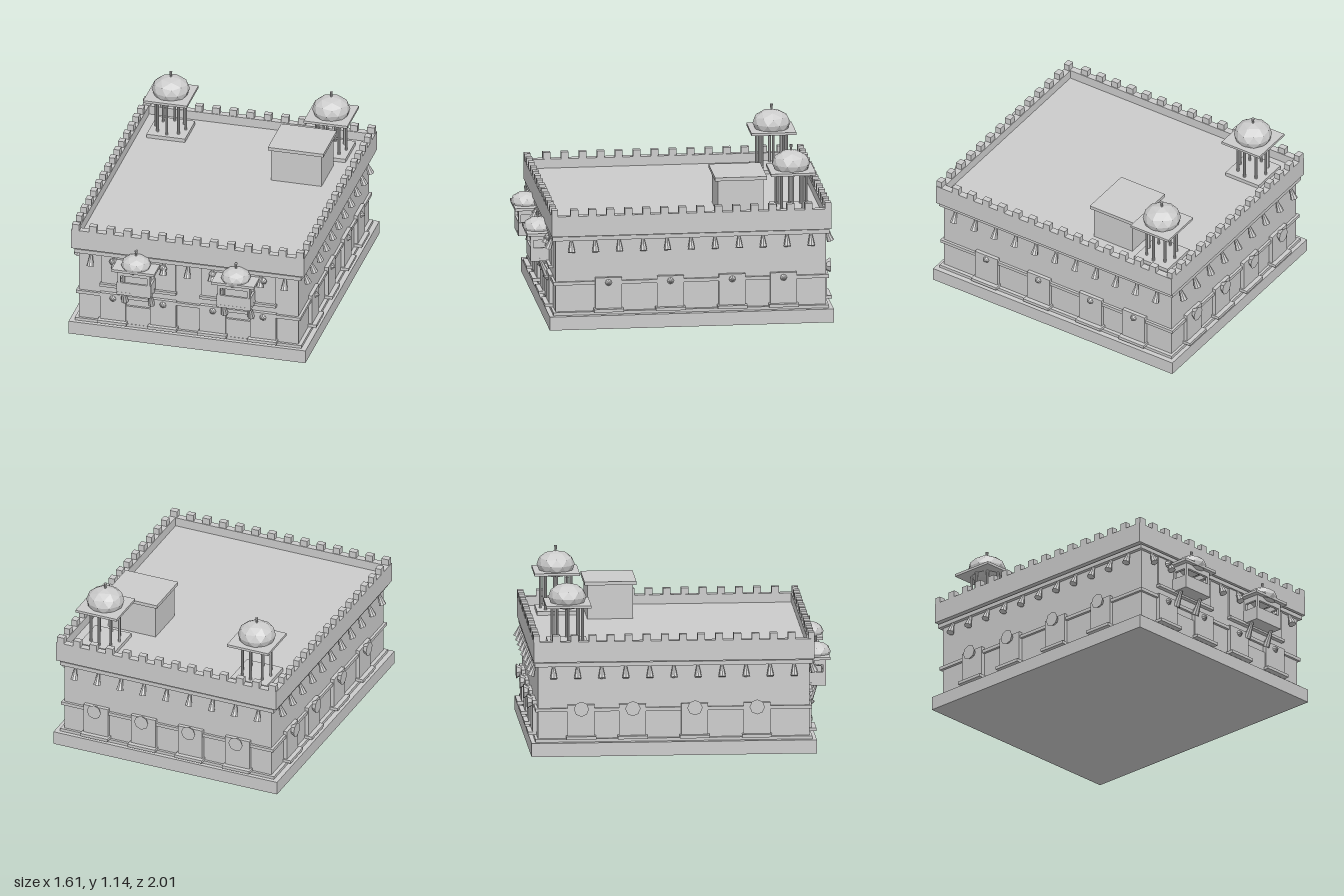
import * as THREE from 'three';

const mat = new THREE.MeshStandardMaterial({ color: 0xcccccc, flatShading: true, side: THREE.DoubleSide });
const CZ = -0.056;            // centre of the building in z
const WX = 0.74, WZ = 0.888;  // half sizes of the wall block

function add(parent, name, geometry, x, y, z) {
  const m = new THREE.Mesh(geometry, mat);
  m.name = name;
  m.position.set(x, y, z);
  parent.add(m);
  return m;
}

// Box given by its centre in x and z and its bottom and top in y
function box(parent, name, w, y0, y1, d, x = 0, z = 0) {
  return add(parent, name, new THREE.BoxGeometry(w, y1 - y0, d), x, (y0 + y1) / 2, z);
}

// Faceted dome with a vertex at the pole, and its finial
function dome(parent, x, y, z, r, ry) {
  const g = new THREE.IcosahedronGeometry(1, 1);
  g.rotateZ(-Math.atan(2 / (1 + Math.sqrt(5))));
  g.scale(r, ry, r);
  add(parent, 'dome', g, x, y, z);
  add(parent, 'finial', new THREE.CylinderGeometry(0.01, 0.006, 0.04, 8), x, y + ry + 0.015, z);
}

// Tapered bracket between two points
function cone(parent, name, top, bottom, rTop, rBottom) {
  const a = new THREE.Vector3(...top), b = new THREE.Vector3(...bottom);
  const dir = a.clone().sub(b);
  const mid = a.clone().add(b).multiplyScalar(0.5);
  const m = add(parent, name, new THREE.CylinderGeometry(rTop, rBottom, dir.length(), 8), mid.x, mid.y, mid.z);
  m.quaternion.setFromUnitVectors(new THREE.Vector3(0, 1, 0), dir.normalize());
}

// Spread n positions evenly over -half..half
const spread = (n, half) => Array.from({ length: n }, (_, i) => -half + (2 * half * i) / (n - 1));

// One facade: local z = 0 is the wall plane, +z points outwards
function facade(parent, name, angle, dist) {
  const g = new THREE.Group();
  g.name = name;
  g.rotation.y = angle;
  g.position.set(Math.sin(angle) * dist, 0, Math.cos(angle) * dist);
  parent.add(g);
  return g;
}

function niche(parent, x, y, flared) {
  box(parent, 'nichePanel', 0.175, 0.11, y + 0.033, 0.05, x, 0);
  box(parent, 'nicheSill', 0.195, 0.11, 0.13, 0.08, x, 0.015);
  if (flared) cone(parent, 'nicheRosette', [x, y + 0.01, 0.055], [x, y + 0.01, 0.015], 0.05, 0.025);
  else cone(parent, 'nicheBoss', [x, y, 0.05], [x, y, 0.02], 0.004, 0.026);
}

function eaveBrackets(parent, positions) {
  for (const x of positions) cone(parent, 'eaveBracket', [x, 0.592, 0.012], [x, 0.515, 0.04], 0.008, 0.025);
}

function balcony(parent, x) {
  const g = new THREE.Group();
  g.name = 'balcony';
  g.position.x = x;
  parent.add(g);
  box(g, 'balconyFloor', 0.23, 0.38, 0.4, 0.13, 0, 0.065);
  box(g, 'balconyFrontRail', 0.23, 0.4, 0.47, 0.015, 0, 0.122);
  for (const s of [-1, 1]) {
    box(g, 'balconySideRail', 0.015, 0.4, 0.47, 0.115, s * 0.107, 0.06);
    for (const z of [0.015, 0.12]) box(g, 'balconyPost', 0.018, 0.4, 0.555, 0.018, s * 0.1, z);
    box(g, 'sideLintel', 0.018, 0.52, 0.555, 0.11, s * 0.1, 0.065);
    cone(g, 'balconyBracket', [s * 0.09, 0.385, 0.065], [s * 0.09, 0.28, 0.018], 0.01, 0.025);
    cone(g, 'wallBoss', [s * 0.17, 0.555, 0.05], [s * 0.17, 0.555, 0.02], 0.004, 0.026);
  }
  box(g, 'frontLintel', 0.2, 0.52, 0.555, 0.018, 0, 0.12);
  box(g, 'balconyCanopy', 0.29, 0.555, 0.573, 0.16, 0, 0.075);
  dome(g, 0, 0.587, 0.07, 0.098, 0.066);
}

function pavilion(parent, x, z) {
  const g = new THREE.Group();
  g.name = 'roofPavilion';
  g.position.set(x, 0, z);
  parent.add(g);
  box(g, 'pavilionPlatform', 0.26, 0.69, 0.725, 0.26);
  for (let i = 0; i < 8; i++) {
    const a = (i * Math.PI) / 4;
    add(g, 'pavilionColumn', new THREE.CylinderGeometry(0.009, 0.009, 0.24, 8), 0.1 * Math.cos(a), 0.845, 0.1 * Math.sin(a));
  }
  box(g, 'pavilionCanopy', 0.295, 0.963, 0.98, 0.295);
  dome(g, 0, 1.015, 0, 0.125, 0.09);
}

export function createModel() {
  const root = new THREE.Group();
  root.name = 'palace';
  const body = new THREE.Group();
  body.name = 'building';
  body.position.z = CZ;
  root.add(body);

  // Main block with its horizontal mouldings
  box(body, 'base', 1.6, 0, 0.09, 1.866);
  box(body, 'plinthStep', 1.53, 0.09, 0.11, 1.81);
  box(body, 'walls', 2 * WX, 0.11, 0.7, 2 * WZ);
  box(body, 'stringCourse', 1.515, 0.29, 0.312, 1.81);
  box(body, 'cornice', 1.53, 0.59, 0.617, 1.82);

  // Parapet ring and battlements
  const PX = 0.787, PZ = 0.918, T = 0.045;
  for (const s of [-1, 1]) {
    box(body, 'parapetEnd', 2 * PX, 0.625, 0.76, T, 0, s * (PZ - T / 2));
    box(body, 'parapetSide', T, 0.625, 0.76, 2 * (PZ - T), s * (PX - T / 2), 0);
    for (const x of spread(14, 0.757)) box(body, 'merlon', 0.05, 0.76, 0.803, 0.04, x, s * (PZ - 0.02));
    for (const z of spread(16, 0.888).slice(1, -1)) box(body, 'merlon', 0.04, 0.76, 0.803, 0.05, s * (PX - 0.02), z);
  }

  // Long sides: the right has pointed bosses, the left flared rosettes
  for (const s of [-1, 1]) {
    const side = facade(body, s > 0 ? 'leftFacade' : 'rightFacade', (s * Math.PI) / 2, WX);
    for (const z of [0.487, 0.08, -0.326, -0.663]) niche(side, -s * (z - CZ), 0.303, s < 0);
    eaveBrackets(side, spread(11, 0.787));
  }

  // Back
  const back = facade(body, 'backFacade', Math.PI, WZ);
  for (const x of [-0.507, -0.168, 0.168, 0.507]) niche(back, x, 0.303, true);
  eaveBrackets(back, spread(9, 0.655));

  // Front with doors, raised bays and two domed balconies
  const front = facade(body, 'frontFacade', 0, WZ);
  for (const x of [-0.507, -0.168, 0.168, 0.507]) niche(front, x, 0.287, false);
  eaveBrackets(front, spread(9, 0.655).filter(x => Math.abs(Math.abs(x) - 0.3275) > 0.01));
  for (const s of [-1, 1]) {
    box(front, 'doorPanel', 0.175, 0.09, 0.24, 0.03, s * 0.337, 0);
    box(front, 'raisedBay', 0.5, 0.385, 0.59, 0.02, s * 0.337, 0);
    box(front, 'bayLedge', 0.515, 0.368, 0.387, 0.06, s * 0.337, 0);
    balcony(front, s * 0.337);
  }

  // Roof structures
  for (const s of [-1, 1]) pavilion(root, s * 0.542, -0.738);
  box(root, 'stairHouse', 0.34, 0.69, 0.927, 0.3, 0.437, -0.4);
  box(root, 'stairHouseRoof', 0.375, 0.927, 0.95, 0.34, 0.437, -0.4);
  return root;
}
